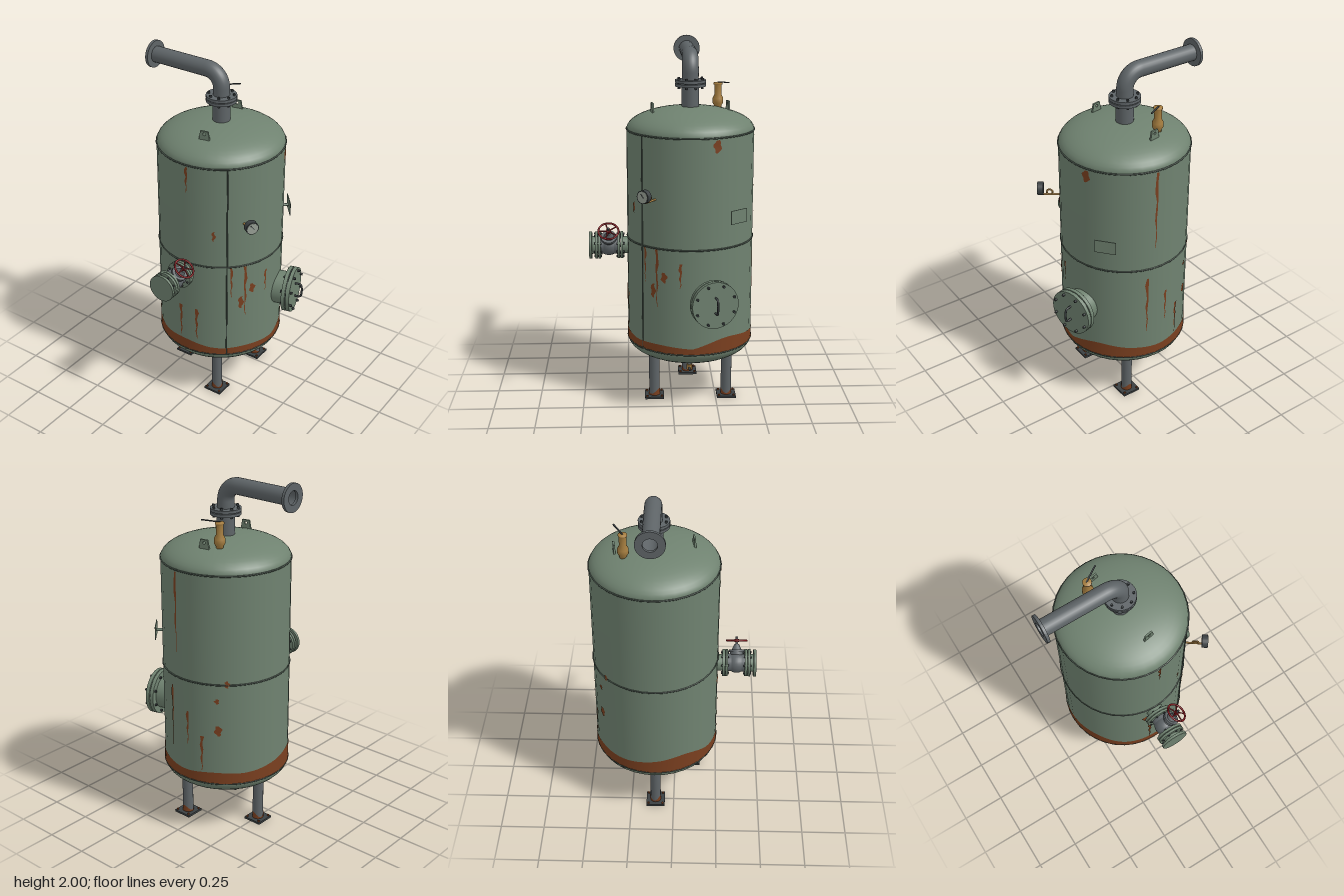
import * as THREE from 'three';

const mat = (name, color, side = THREE.FrontSide) => {
  const m = new THREE.MeshStandardMaterial({ color, side });
  m.name = name;
  return m;
};
const M = {
  green: mat('tankGreen', 0x6f8270),
  seam: mat('seamGreen', 0x465249),
  steel: mat('steelGrey', 0x5e6467, THREE.DoubleSide),
  dark: mat('darkSteel', 0x3b4042),
  rust: mat('rust', 0x7a3f1f, THREE.DoubleSide),
  brass: mat('brass', 0xa57d3f),
  red: mat('handwheelRed', 0x8c1a20),
  dial: mat('dialFace', 0x98a096),
};
const R = 0.352, LOW = 0.335, HIGH = 1.535, HEAD = 0.122;
const rad = THREE.MathUtils.degToRad;

function add(parent, name, geo, material, x = 0, y = 0, z = 0) {
  const m = new THREE.Mesh(geo, material);
  m.name = name;
  m.position.set(x, y, z);
  parent.add(m);
  return m;
}
function group(parent, name, x = 0, y = 0, z = 0) {
  const g = new THREE.Group();
  g.name = name;
  g.position.set(x, y, z);
  parent.add(g);
  return g;
}
// Cylinder between two heights on the local y axis
function rod(parent, name, r, y0, y1, material, x = 0, z = 0, seg = 24, rTop = r) {
  return add(parent, name, new THREE.CylinderGeometry(rTop, r, y1 - y0, seg), material, x, (y0 + y1) / 2, z);
}
function bolts(parent, n, ring, y0, y1, r = 0.007) {
  for (let i = 0; i < n; i++) {
    const a = (i + 0.5) / n * Math.PI * 2;
    rod(parent, 'bolt', r, y0, y1, M.dark, ring * Math.cos(a), ring * Math.sin(a), 6);
  }
}
// Group whose local y points outwards from the tank axis, local x points down
function radial(parent, name, deg, y) {
  const g = group(parent, name, 0, y, 0);
  g.rotation.order = 'YXZ';
  g.rotation.set(0, -rad(deg), -Math.PI / 2);
  return g;
}
// Curved skin on a cylinder: rows of [leftAngle, leftY, rightAngle, rightY]
function skin(parent, name, r, rows) {
  const pos = [], idx = [];
  rows.forEach(([a, ya, b, yb], i) => {
    pos.push(r * Math.cos(a), ya, r * Math.sin(a), r * Math.cos(b), yb, r * Math.sin(b));
    if (i) idx.push(2 * i - 2, 2 * i, 2 * i - 1, 2 * i - 1, 2 * i, 2 * i + 1);
  });
  const g = new THREE.BufferGeometry();
  g.setAttribute('position', new THREE.Float32BufferAttribute(pos, 3));
  g.setIndex(idx);
  g.computeVertexNormals();
  return add(parent, name, g, M.rust);
}
function streak(parent, deg, top, bottom, width) {
  const rows = [], n = 8;
  for (let i = 0; i <= n; i++) {
    const t = i / n, y = top + (bottom - top) * t;
    const mid = rad(deg) + 0.01 * Math.sin(i * 1.9 + deg);
    const w = width / 2 / R * (1 - 0.85 * t) * (0.8 + 0.3 * Math.sin(i * 2.3 + deg * 2));
    rows.push([mid - w, y, mid + w, y]);
  }
  skin(parent, 'rustStreak', R + 0.003, rows);
}
function blot(parent, deg, top, bottom, width) {
  const rows = [], n = 6;
  for (let i = 0; i <= n; i++) {
    const t = i / n, w = width / 2 / R * Math.sin(Math.PI * (0.12 + 0.8 * t));
    const mid = rad(deg) + 0.015 * Math.sin(i * 1.7 + deg);
    rows.push([mid - w, top + (bottom - top) * t, mid + w, top + (bottom - top) * t]);
  }
  skin(parent, 'rustBlot', R + 0.003, rows);
}

function buildShell(v) {
  // Dished heads and straight wall in one lathe profile
  const pts = [], n = 12;
  for (let i = 0; i <= n; i++) {
    const t = i / n * Math.PI / 2;
    pts.push(new THREE.Vector2(R * Math.sin(t), LOW - HEAD * Math.cos(t)));
  }
  for (let i = 0; i <= n; i++) {
    const t = i / n * Math.PI / 2;
    pts.push(new THREE.Vector2(R * Math.cos(t), HIGH + HEAD * Math.sin(t)));
  }
  add(v, 'tankShell', new THREE.LatheGeometry(pts, 36), M.green);
  for (const y of [LOW, 0.93, HIGH])
    add(v, 'weldSeam', new THREE.TorusGeometry(R, 0.005, 6, 36), M.seam, 0, y).rotation.x = Math.PI / 2;
  const a = rad(50);
  rod(v, 'verticalSeam', 0.004, LOW, HIGH, M.seam, R * Math.cos(a), R * Math.sin(a), 6);

  // Corroded band with a wavy top edge, one height every 30 degrees
  const h = [0.37, 0.382, 0.38, 0.405, 0.40, 0.445, 0.42, 0.40, 0.405, 0.39, 0.405, 0.42];
  const curve = new THREE.CatmullRomCurve3(h.map((y, i) => new THREE.Vector3(i, y, 0)).concat(new THREE.Vector3(12, h[0], 0)));
  const rows = [];
  for (let i = 0; i <= 72; i++) {
    const ang = i / 72 * Math.PI * 2;
    rows.push([ang, LOW, ang, curve.getPoint(i / 72).y]);
  }
  skin(v, 'rustBand', R + 0.002, rows);

  [[87, 1.525, 1.37, 0.022], [94.5, 0.635, 0.41, 0.024], [78, 0.635, 0.43, 0.024], [46, 0.925, 0.73, 0.018],
    [33, 0.925, 0.6, 0.022], [11, 0.855, 0.72, 0.022], [-83, 1.525, 1.06, 0.022], [-76, 0.87, 0.5, 0.022],
    [-95, 0.75, 0.55, 0.02], [-109, 0.62, 0.41, 0.024]].forEach(s => streak(v, ...s));
  [[62, 1.16, 1.1, 0.018], [99, 0.82, 0.76, 0.045], [26, 0.8, 0.74, 0.035], [37, 0.73, 0.65, 0.03],
    [-21, 1.525, 1.455, 0.045], [-124, 0.69, 0.63, 0.04], [-132, 0.955, 0.915, 0.025], [-123, 0.85, 0.82, 0.025]]
    .forEach(s => blot(v, ...s));
}

function buildLegs(v) {
  for (const deg of [60, 180, 300]) {
    const leg = group(v, 'leg', 0.237 * Math.cos(rad(deg)), 0, 0.237 * Math.sin(rad(deg)));
    rod(leg, 'legTube', 0.03, 0.01, 0.29, M.steel, 0, 0, 16);
    add(leg, 'footPlate', new THREE.BoxGeometry(0.108, 0.012, 0.108), M.dark, 0, 0.006);
    for (const sx of [-1, 1]) for (const sz of [-1, 1])
      rod(leg, 'anchorBolt', 0.006, 0.01, 0.02, M.rust, sx * 0.042, sz * 0.042, 6);
    const rows = [];
    for (let i = 0; i <= 16; i++) {
      const a = i / 16 * Math.PI * 2;
      rows.push([a, 0.012, a, 0.036 + 0.016 * Math.sin(a * 2 + deg)]);
    }
    skin(leg, 'footRust', 0.0315, rows);
  }
}

function buildTopPipe(v) {
  const g = group(v, 'outletPipe');
  rod(g, 'nozzle', 0.048, 1.63, 1.768, M.steel);
  rod(g, 'nozzleFlange', 0.084, 1.765, 1.781, M.steel, 0, 0, 32);
  rod(g, 'pipeFlange', 0.084, 1.785, 1.801, M.steel, 0, 0, 32);
  bolts(g, 8, 0.069, 1.754, 1.812);
  const path = new THREE.CurvePath(), V = (x, y) => new THREE.Vector3(x, y, 0);
  path.add(new THREE.LineCurve3(V(0, 1.795), V(0, 1.84)));
  path.add(new THREE.CubicBezierCurve3(V(0, 1.84), V(0, 1.89), V(-0.04, 1.928), V(-0.09, 1.928)));
  path.add(new THREE.LineCurve3(V(-0.09, 1.928), V(-0.43, 1.928)));
  add(g, 'bentPipe', new THREE.TubeGeometry(path, 70, 0.045, 24), M.steel);
  const ring = [[0.037, 0], [0.076, 0], [0.076, 0.016], [0.037, 0.016], [0.037, 0]].map(p => new THREE.Vector2(...p));
  add(g, 'openEndFlange', new THREE.LatheGeometry(ring, 32).toNonIndexed(), M.steel, -0.432, 1.928).rotation.z = Math.PI / 2;
  g.children.at(-1).geometry.computeVertexNormals();
}

function buildManway(v) {
  const g = radial(v, 'manway', -15, 0.65);
  rod(g, 'manwayNeck', 0.095, 0.3, 0.41, M.green, 0, 0, 32);
  rod(g, 'manwayFlange', 0.13, 0.405, 0.426, M.green, 0, 0, 36);
  rod(g, 'manwayGasket', 0.122, 0.426, 0.431, M.dark, 0, 0, 36);
  rod(g, 'manwayCover', 0.13, 0.431, 0.452, M.green, 0, 0, 36);
  bolts(g, 8, 0.112, 0.395, 0.466);
  const pts = [[-0.043, 0.45], [-0.04, 0.485], [0, 0.493], [0.04, 0.485], [0.043, 0.45]];
  const c = new THREE.CatmullRomCurve3(pts.map(([x, y]) => new THREE.Vector3(x, y, 0)));
  add(g, 'coverHandle', new THREE.TubeGeometry(c, 16, 0.006, 8), M.dark);
}

function buildValve(v) {
  const g = radial(v, 'inletValve', 90, 0.87);
  rod(g, 'inletNeck', 0.048, 0.33, 0.385, M.green);
  for (const [a, b] of [[0.377, 0.392], [0.395, 0.408], [0.502, 0.516], [0.52, 0.534], [0.552, 0.567]])
    rod(g, 'valveFlange', 0.077, a, b, M.green, 0, 0, 32);
  rod(g, 'valveBody', 0.05, 0.405, 0.505, M.steel);
  add(g, 'valveBelly', new THREE.SphereGeometry(0.058, 24, 16), M.steel, 0, 0.457);
  rod(g, 'outletNeck', 0.05, 0.53, 0.556, M.green);
  bolts(g, 8, 0.064, 0.37, 0.414, 0.006);
  bolts(g, 8, 0.064, 0.496, 0.54, 0.006);

  // Slanted bonnet, stem and handwheel
  const b = group(v, 'valveBonnet', 0, 0.87, 0.457);
  b.rotation.z = -rad(37);
  rod(b, 'bonnetNeck', 0.036, 0.02, 0.07, M.steel);
  rod(b, 'bonnetFlange', 0.044, 0.06, 0.074, M.steel);
  rod(b, 'bonnetCone', 0.028, 0.074, 0.105, M.steel, 0, 0, 16, 0.013);
  rod(b, 'valveStem', 0.007, 0.1, 0.148, M.dark, 0, 0, 10);
  add(b, 'handwheelRim', new THREE.TorusGeometry(0.056, 0.0055, 8, 28), M.red, 0, 0.125).rotation.x = Math.PI / 2;
  rod(b, 'handwheelHub', 0.013, 0.117, 0.134, M.red, 0, 0, 12);
  for (let i = 0; i < 5; i++) {
    const arm = group(b, 'handwheelSpoke', 0, 0.125, 0);
    arm.rotation.set(Math.PI / 2, 0, i * Math.PI * 0.4);
    rod(arm, 'spoke', 0.004, 0.005, 0.056, M.red, 0, 0, 6);
  }
}

function buildFittings(v) {
  // Pressure gauge on a coiled brass siphon
  const g = radial(v, 'pressureGauge', 35, 1.235);
  rod(g, 'siphonPipe', 0.006, 0.34, 0.445, M.brass, 0.036, 0, 8);
  add(g, 'siphonCoil', new THREE.TorusGeometry(0.016, 0.005, 8, 18), M.brass, 0.022, 0.405);
  rod(g, 'gaugeCase', 0.036, 0.438, 0.47, M.dark);
  rod(g, 'gaugeFace', 0.031, 0.469, 0.472, M.dial);
  add(g, 'gaugeNeedle', new THREE.BoxGeometry(0.03, 0.002, 0.004), M.dark, -0.006, 0.473).rotation.y = 0.7;

  // Blank plate standing off on a bracket
  const p = radial(v, 'dataPlate', -40, 1.105);
  rod(p, 'plateBracket', 0.008, 0.34, 0.385, M.green, 0, 0, 8);
  add(p, 'plate', new THREE.BoxGeometry(0.075, 0.004, 0.117), M.green, 0, 0.386);

  // Relief valve with lever
  const s = group(v, 'reliefValve', -0.097, 1.63, -0.158);
  const prof = [[0.0, 0], [0.02, 0], [0.02, 0.015], [0.03, 0.03], [0.03, 0.055], [0.02, 0.075], [0.02, 0.13], [0.024, 0.132], [0.024, 0.142], [0, 0.144]];
  add(s, 'reliefBody', new THREE.LatheGeometry(prof.map(q => new THREE.Vector2(...q)), 20), M.brass);
  add(s, 'reliefLever', new THREE.BoxGeometry(0.1, 0.005, 0.008), M.dark, 0.038, 0.148, -0.026).rotation.set(0, 0.56, 0.08);

  // Lifting lugs
  const shape = new THREE.Shape([[-0.032, 0], [0.032, 0], [0.022, 0.055], [-0.022, 0.055]].map(q => new THREE.Vector2(...q)));
  shape.holes.push(new THREE.Path().absarc(0, 0.038, 0.008, 0, Math.PI * 2, true));
  const lug = new THREE.ExtrudeGeometry(shape, { depth: 0.01, bevelEnabled: false, curveSegments: 8 }).translate(0, 0, -0.005);
  for (const k of [1, -1])
    add(v, 'liftingLug', lug, M.green, k * 0.037, 1.625, k * 0.21).rotation.y = rad(10);

  // Drain cock under the bottom head
  rod(v, 'drainPipe', 0.01, 0.13, 0.225, M.steel, 0, 0, 12);
  rod(v, 'drainCock', 0.016, 0.112, 0.142, M.brass, 0, 0, 12);
  add(v, 'drainLever', new THREE.BoxGeometry(0.065, 0.005, 0.01), M.dark, 0.034, 0.127);
}

export function createModel() {
  const model = new THREE.Group();
  model.name = 'pressureVessel';
  const v = group(model, 'vessel', -0.023, 0, -0.107);
  buildShell(v);
  buildLegs(v);
  buildTopPipe(v);
  buildManway(v);
  buildValve(v);
  buildFittings(v);
  return model;
}
